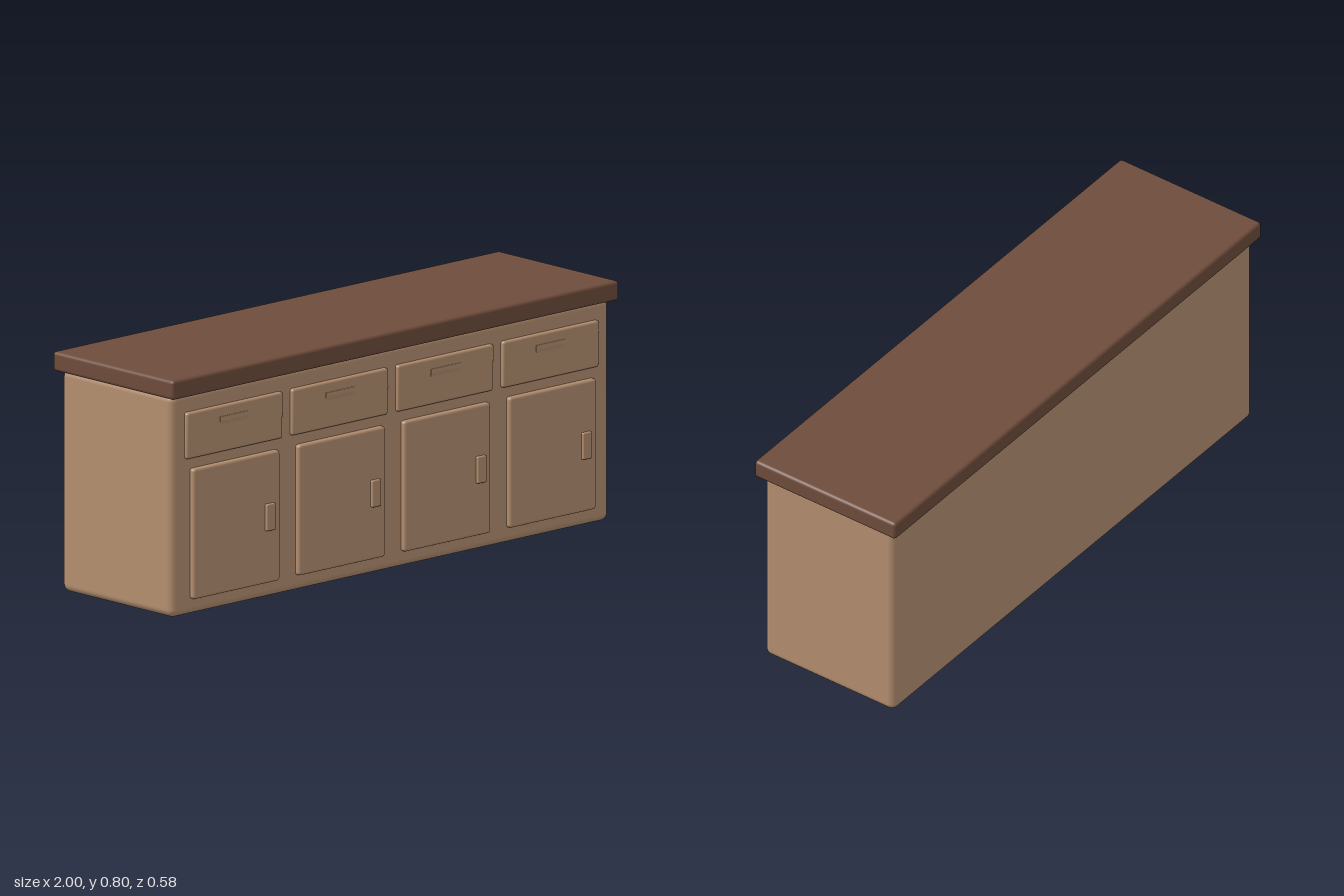
import * as THREE from 'three';
import { RoundedBoxGeometry } from 'three/addons/geometries/RoundedBoxGeometry.js';

const wood = new THREE.MeshStandardMaterial({ color: 0xb48f70 });
const darkWood = new THREE.MeshStandardMaterial({ color: 0x6e4c3b });

// Rounded box given by its minimum and maximum corners
function roundedBox(name, [x0, y0, z0], [x1, y1, z1], radius, material = wood) {
  const mesh = new THREE.Mesh(
    new RoundedBoxGeometry(x1 - x0, y1 - y0, z1 - z0, 4, radius), material);
  mesh.position.set((x0 + x1) / 2, (y0 + y1) / 2, (z0 + z1) / 2);
  mesh.name = name;
  return mesh;
}

// Finger pull: a shallow wedge, deepest along its top edge
function drawerPull() {
  const profile = new THREE.Shape();
  profile.moveTo(0, 0.605);
  profile.lineTo(0.271, 0.605);
  profile.lineTo(0.277, 0.63);
  profile.lineTo(0.277, 0.645);
  profile.lineTo(0.26, 0.645);
  profile.lineTo(0.26, 0.605);
  profile.closePath();
  const geometry = new THREE.ExtrudeGeometry(profile, { depth: 0.13, bevelEnabled: false });
  geometry.rotateY(-Math.PI / 2); // profile x becomes z, extrusion runs along -x
  const mesh = new THREE.Mesh(geometry, wood);
  mesh.position.x = -0.655;
  mesh.name = 'drawerPull';
  return mesh;
}

export function createModel() {
  const model = new THREE.Group();
  model.name = 'sideboard';

  // Cabinet body and overhanging worktop
  model.add(roundedBox('cabinetBody', [-0.985, 0, -0.265], [0.975, 0.745, 0.26], 0.026));
  model.add(roundedBox('worktop', [-1, 0.735, -0.29], [1, 0.8, 0.28], 0.012, darkWood));

  // Four identical bays, each with a drawer above a door
  for (let i = 0; i < 4; i++) {
    const bay = new THREE.Group();
    bay.name = 'bay' + (i + 1);
    bay.position.x = i * 0.472;

    const drawer = roundedBox('drawerFront', [-0.93, 0.525, 0.235], [-0.5, 0.681, 0.274], 0.009);
    drawer.rotation.x = 0.02;
    bay.add(drawer, drawerPull());

    bay.add(roundedBox('door', [-0.905, 0.053, 0.235], [-0.517, 0.49, 0.279], 0.011));
    bay.add(roundedBox('doorHandle', [-0.587, 0.23, 0.265], [-0.547, 0.32, 0.29], 0.005));
    model.add(bay);
  }
  return model;
}
